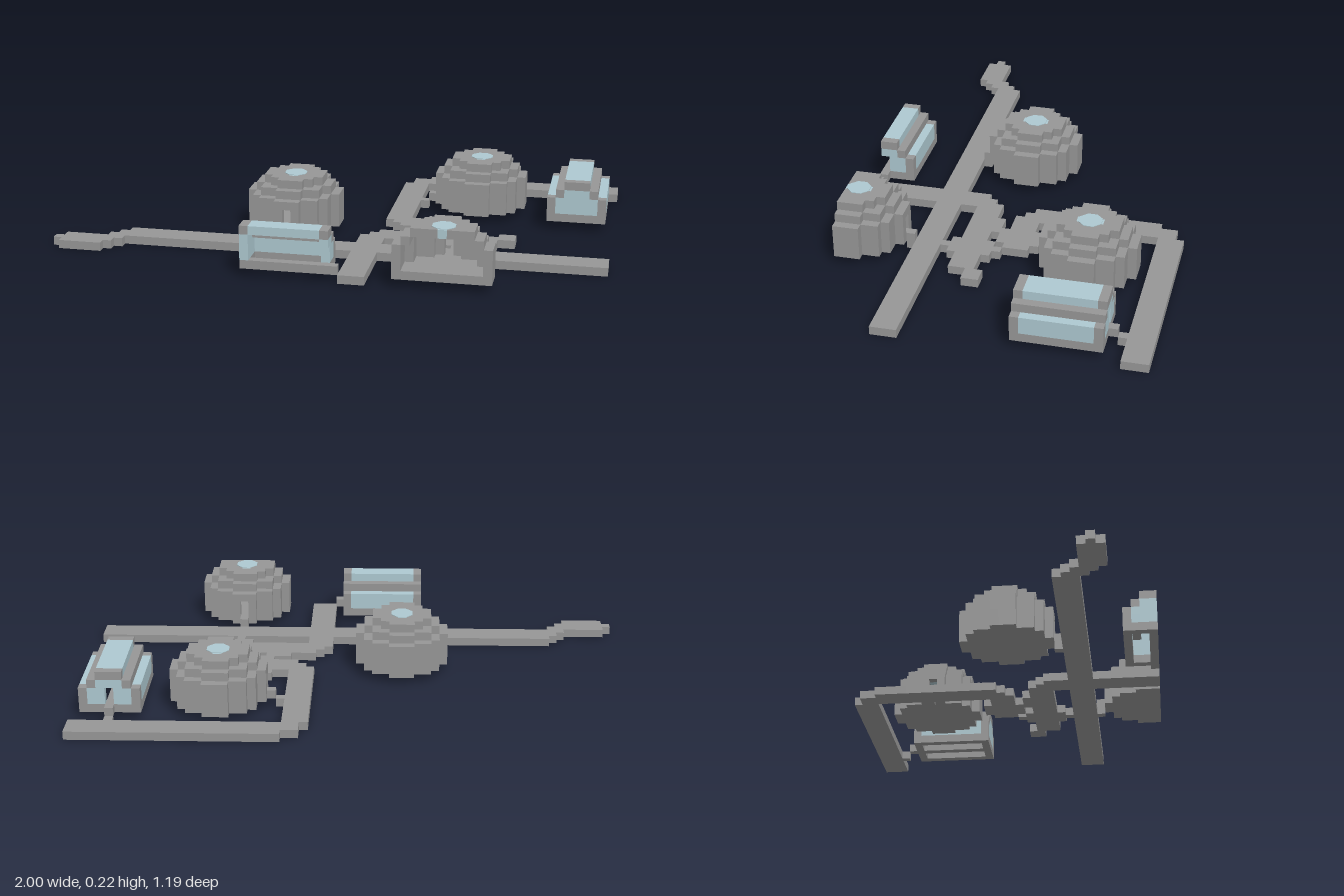
import * as THREE from 'three';

const U = 1 / 32; // size of one block
const EMPTY = 0, STONE = 1, GLASS = 2;
const ZMAX = 38; // buildings are cut off at this row

const stone = new THREE.MeshStandardMaterial({ color: 0x979797 });
stone.name = 'stone grey';
const glass = new THREE.MeshStandardMaterial({ color: 0xaec9d1 });
glass.name = 'pale glass';

// Builds the exposed faces of all blocks that cell(x, y, z) reports inside the bounds
function blockMesh(name, [x0, x1, y1, z0, z1], cell) {
  const at = (x, y, z) =>
    x < x0 || x >= x1 || y < 0 || y >= y1 || z < z0 || z >= z1 ? EMPTY : cell(x, y, z);
  const faces = [[], []];
  for (let x = x0; x < x1; x++) for (let y = 0; y < y1; y++) for (let z = z0; z < z1; z++) {
    const kind = at(x, y, z);
    if (!kind) continue;
    for (let axis = 0; axis < 3; axis++) for (const side of [-1, 1]) {
      const n = [0, 0, 0];
      n[axis] = side;
      if (at(x + n[0], y + n[1], z + n[2])) continue;
      const corners = [[0, 0], [1, 0], [1, 1], [0, 1]].map(([a, b]) => {
        const p = [x, y, z];
        p[axis] += side > 0 ? 1 : 0;
        p[(axis + 1) % 3] += side > 0 ? a : b;
        p[(axis + 2) % 3] += side > 0 ? b : a;
        return [p[0] * U - 1, p[1] * U, (p[2] - 19) * U];
      });
      faces[kind - 1].push({ corners, n });
    }
  }
  const pos = [], nor = [], geo = new THREE.BufferGeometry();
  faces.forEach((list, m) => {
    const start = pos.length / 3;
    for (const { corners, n } of list)
      for (const i of [0, 1, 2, 0, 2, 3]) { pos.push(...corners[i]); nor.push(...n); }
    if (list.length) geo.addGroup(start, list.length * 6, m);
  });
  geo.setAttribute('position', new THREE.Float32BufferAttribute(pos, 3));
  geo.setAttribute('normal', new THREE.Float32BufferAttribute(nor, 3));
  const mesh = new THREE.Mesh(geo, [stone, glass]);
  mesh.name = name;
  return mesh;
}

// Half widths of the round dome layers, indexed by distance from the centre row
const OUTER = [5, 5, 4, 4, 3, 1], MIDDLE = [4, 4, 3, 3, 1], TOP = [3, 3, 2, 1];
const inside = (rows, dx, dz) => Math.abs(dz) < rows.length && Math.abs(dx) <= rows[Math.abs(dz)];

// Hollow stepped dome, one block above the ground, with a floor, a skylight
// and a doorway towards (doorX, doorZ)
function dome(name, cx, cz, doorX, doorZ) {
  const bounds = [cx - 6, cx + 7, 7, cz - 6, Math.min(cz + 7, ZMAX)];
  const group = new THREE.Group();
  group.name = name;
  group.add(blockMesh('domeShell', bounds, (x, y, z) => {
    const dx = x - cx, dz = z - cz;
    if (y === 0) return EMPTY;
    if (dx === doorX * 6 && dz === doorZ * 6) return y === 1 ? STONE : EMPTY; // doorstep
    if (dx === doorX * 5 && dz === doorZ * 5 && (y === 2 || y === 3)) return EMPTY;
    if (y === 1) return inside(OUTER, dx, dz) ? STONE : EMPTY;
    if (y < 5) return inside(OUTER, dx, dz) && !inside(MIDDLE, dx, dz) ? STONE : EMPTY;
    if (y === 5) return inside(MIDDLE, dx, dz) && !inside(TOP, dx, dz) ? STONE : EMPTY;
    if (!inside(TOP, dx, dz)) return EMPTY;
    return dx === 0 && Math.abs(dz) <= 1 ? GLASS : STONE;
  }));

  // Eight-sided pane set through the top layer
  const pane = new THREE.CylinderGeometry(1.38 * U, 1.38 * U, U + 0.004, 8).rotateY(Math.PI / 8);
  const skylight = new THREE.Mesh(pane, glass);
  skylight.name = 'skylight';
  skylight.position.set((cx + 0.5) * U - 1, 6.5 * U, (cz + 0.5 - 19) * U);
  group.add(skylight);
  return group;
}

// Greenhouse section: u runs along its length (0..9, door at 0), v across (0..6)
function greenhouseCell(u, y, v) {
  const d = Math.abs(v - 3), end = u === 0 || u === 9;
  if (y === 0) return EMPTY;
  if (u === -1) return d === 0 && y === 1 ? STONE : EMPTY; // doorstep
  if (u < 0 || u > 9 || d > 3) return EMPTY;
  if (y === 5) return d > 1 ? EMPTY : end ? STONE : GLASS; // glazed ridge
  if (y === 4) {
    if (d === 2) return STONE; // eaves beam
    return end && d < 2 ? GLASS : EMPTY;
  }
  if (y === 1) return d === 3 || d === 0 || end ? STONE : EMPTY; // sill and centre walkway
  if (d === 3) return end ? STONE : GLASS; // side walls
  return end && !(u === 0 && d === 0) ? GLASS : EMPTY; // end walls with doorway
}

// Road slabs as [x0, x1, z0, z1]
const ROADS = {
  mainRoad: [
    [8, 64, 27, 30], [7, 8, 28, 31], [6, 7, 29, 32], [1, 6, 30, 33], [0, 1, 31, 32],
    [26, 27, 26, 27], [46, 47, 30, 31],
  ],
  backRoad: [
    [40, 64, 0, 3], [38, 40, 1, 3], [37, 40, 3, 18], [38, 46, 17, 19], [39, 46, 19, 20],
    [42, 45, 16, 17], [42, 45, 20, 21], [40, 41, 9, 10], [59, 60, 3, 4],
  ],
  frontRoad: [
    [35, 38, 24, 38], [36, 38, 23, 24], [37, 53, 22, 23], [38, 51, 23, 25], [40, 43, 21, 22],
    [45, 48, 21, 22], [46, 47, 20, 21], [51, 53, 21, 22], [45, 48, 25, 26], [46, 47, 26, 27],
  ],
};

export function createModel() {
  const model = new THREE.Group();
  model.name = 'domeSettlement';

  for (const [name, slabs] of Object.entries(ROADS))
    model.add(blockMesh(name, [0, 64, 1, 0, ZMAX], (x, y, z) =>
      slabs.some(([a, b, c, d]) => x >= a && x < b && z >= c && z < d) ? STONE : EMPTY));

  model.add(dome('rightDome', 26, 20, 0, 1));
  model.add(dome('backDome', 47, 9, -1, 0));
  model.add(dome('frontDome', 46, 36, 0, -1));

  model.add(blockMesh('leftGreenhouse', [56, 63, 6, 4, 15],
    (x, y, z) => greenhouseCell(z - 5, y, x - 56)));
  model.add(blockMesh('frontGreenhouse', [24, 35, 6, 34, ZMAX],
    (x, y, z) => greenhouseCell(33 - x, y, z - 34)));
  return model;
}
